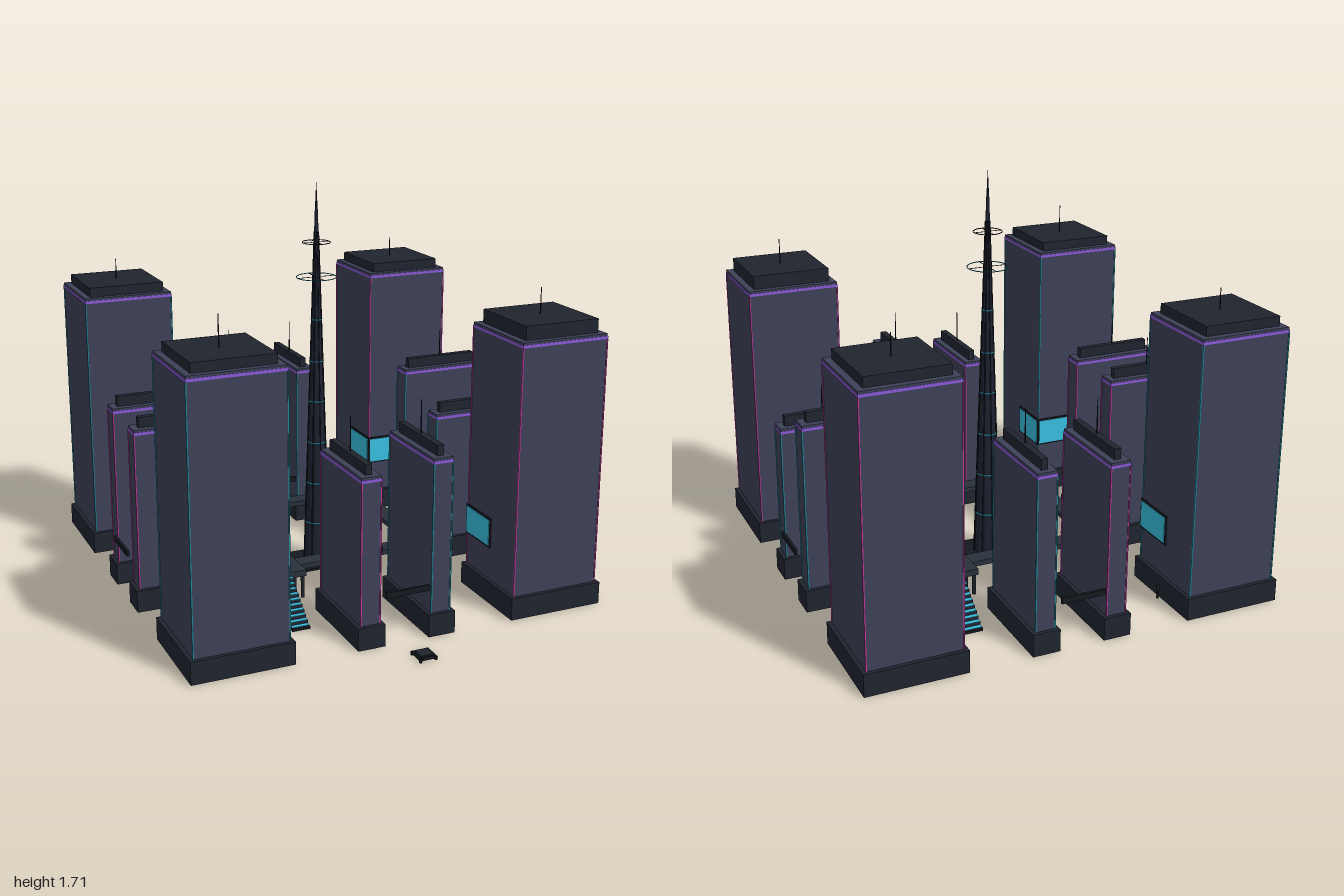
import * as THREE from 'three';

const mat = (color, flatShading = false) => new THREE.MeshStandardMaterial({ color, flatShading });
const M = {
  wall: mat(0x3d4157), dark: mat(0x20242e), black: mat(0x15181f), deck: mat(0x29313b),
  spire: mat(0x1d2230, true), cyan: mat(0x38bfe0), teal: mat(0x1f8c9c), pink: mat(0xc23a9c), violet: mat(0x8a5ad6),
};
const CZ = -0.09; // centre of the block plan

export function createModel() {
  const root = new THREE.Group();

  const group = (name, parent = root, x = 0, y = 0, z = 0) => {
    const g = new THREE.Group();
    g.name = name;
    g.position.set(x, y, z);
    parent.add(g);
    return g;
  };
  // box standing on y
  const box = (parent, name, w, h, d, x, y, z, m) => {
    const b = new THREE.Mesh(new THREE.BoxGeometry(w, h, d), m);
    b.name = name;
    b.position.set(x, y + h / 2, z);
    parent.add(b);
    return b;
  };
  // cylinder standing on y
  const cyl = (parent, name, rTop, rBot, h, x, y, z, m, n = 8) => {
    const c = new THREE.Mesh(new THREE.CylinderGeometry(rTop, rBot, h, n), m);
    c.name = name;
    c.position.set(x, y + h / 2, z);
    parent.add(c);
    return c;
  };
  const ring = (parent, name, r, t, y, m) => {
    const o = new THREE.Mesh(new THREE.TorusGeometry(r, t, 6, 32), m);
    o.name = name;
    o.rotation.x = Math.PI / 2;
    o.position.y = y;
    parent.add(o);
  };

  // building: plinth, shaft, neon trim, roof cap, antenna
  const building = (name, x, z, w, d, top, capTop, tip, neon) => {
    const g = group(name, root, x, 0, z);
    box(g, 'plinth', w + 0.034, 0.095, d + 0.034, 0, 0, 0, M.dark);
    box(g, 'shaft', w, top - 0.095, d, 0, 0.095, 0, M.wall);
    box(g, 'roofBand', w + 0.004, 0.012, d + 0.004, 0, top - 0.022, 0, M.violet);
    box(g, 'roofCap', w - 0.055, capTop - top, d - 0.055, 0, top, 0, M.dark);
    cyl(g, 'antenna', 0.0015, 0.003, tip - capTop, 0, capTop, 0, M.black, 6);
    for (const sx of [-1, 1]) for (const sz of [-1, 1])
      box(g, 'neonEdge', 0.005, top - 0.117, 0.005, sx * w / 2, 0.095, sz * d / 2, neon);
    return g;
  };

  // corner towers: [x side, z side, top, cap top, antenna tip, neon, sign colour]
  const corners = [
    [-1, 1, 1.19, 1.23, 1.355, M.teal, M.cyan], [1, 1, 1.168, 1.226, 1.335, M.pink, M.pink],
    [1, -1, 1.185, 1.226, 1.315, M.pink, M.cyan], [-1, -1, 1.185, 1.226, 1.315, M.teal, M.pink],
  ];
  for (const [sx, sz, top, cap, tip, neon, sign] of corners) {
    const g = building('cornerTower', sx * 0.69, CZ + sz * 0.69, 0.39, 0.39, top, cap, tip, neon);
    // signs on the two inner faces, close to the inner corner
    box(g, 'signFrame', 0.008, 0.13, 0.2, -sx * 0.198, 0.237, -sz * 0.1, M.black);
    box(g, 'signPanel', 0.004, 0.115, 0.188, -sx * 0.203, 0.2445, -sz * 0.1, M.cyan);
    box(g, 'signFrame', 0.2, 0.13, 0.008, -sx * 0.1, 0.237, -sz * 0.198, M.black);
    box(g, 'signPanel', 0.188, 0.115, 0.004, -sx * 0.1, 0.2445, -sz * 0.203, sign);
  }

  // paired slab buildings: [x, z offset, top, runs along z, neon]
  const slabs = [
    [-0.155, 0.69, 0.71, true, M.pink], [0.155, 0.69, 0.745, true, M.teal],
    [-0.155, -0.69, 0.745, true, M.pink], [0.155, -0.69, 0.757, true, M.teal],
    [0.69, 0.155, 0.68, false, M.teal], [0.69, -0.155, 0.807, false, M.teal],
    [-0.69, 0.155, 0.786, false, M.pink], [-0.69, -0.155, 0.79, false, M.pink],
  ];
  for (const [x, dz, top, alongZ, neon] of slabs)
    building('slabBuilding', x, CZ + dz, alongZ ? 0.083 : 0.39, alongZ ? 0.39 : 0.083,
      top, top + 0.044, top + (alongZ ? 0.185 : 0.16), neon);

  // thin beams tying each slab pair together
  for (const s of [-1, 1]) for (const r of [0.477, 0.902]) {
    box(root, 'tieBeam', 0.19, 0.024, 0.012, 0, 0.206, CZ + s * r, M.black);
    box(root, 'tieBeam', 0.012, 0.024, 0.19, s * r, 0.206, CZ, M.black);
  }

  // central spire
  const spire = group('spire', root, 0, 0, CZ);
  box(spire, 'spirePlate', 0.22, 0.01, 0.22, 0, 0, 0, M.black);
  const radius = (y) => 0.06 * (1 - y / 1.75) + 0.001;
  const levels = [0.01, 0.195, 0.38, 0.567, 0.755, 0.935, 1.12, 1.305, 1.455, 1.6];
  for (let i = 0; i < levels.length - 1; i++) {
    const [a, b] = [levels[i], levels[i + 1]];
    cyl(spire, 'spireSegment', radius(b), radius(a), b - a, 0, a, 0, M.spire, 12);
    if (i > 0 && i < 7) ring(spire, 'spireLight', radius(a), 0.003, a, M.cyan);
  }
  cyl(spire, 'spireTip', 0.0005, radius(1.6), 0.11, 0, 1.6, 0, M.spire, 8);
  // leaning ribs on the spire
  for (let i = 0; i < 8; i++) {
    const a = (i / 8) * Math.PI * 2;
    const path = new THREE.LineCurve3(
      new THREE.Vector3(Math.cos(a) * 0.062, 0.01, Math.sin(a) * 0.062),
      new THREE.Vector3(Math.cos(a) * radius(1.5), 1.5, Math.sin(a) * radius(1.5)));
    const rib = new THREE.Mesh(new THREE.TubeGeometry(path, 1, 0.003, 5), M.black);
    rib.name = 'spireRib';
    spire.add(rib);
  }
  // floating halos with spokes
  for (const [r, y, m] of [[0.086, 1.305, M.teal], [0.06, 1.455, M.spire]]) {
    ring(spire, 'halo', r, 0.002, y, m);
    box(spire, 'haloSpoke', r * 2, 0.002, 0.003, 0, y - 0.001, 0, M.black);
    box(spire, 'haloSpoke', 0.003, 0.002, r * 2, 0, y - 0.001, 0, M.black);
  }

  // raised walkway loop with corner platforms on posts
  const walk = group('walkway', root, 0, 0, CZ);
  const R = 0.345;
  for (const s of [-1, 1]) {
    box(walk, 'walkDeck', 0.49, 0.022, 0.075, 0, 0.146, s * R, M.deck);
    box(walk, 'walkDeck', 0.075, 0.022, 0.49, s * R, 0.146, 0, M.deck);
    for (const t of [-1, 1]) {
      box(walk, 'platform', 0.207, 0.027, 0.207, s * R, 0.144, t * R, M.deck);
      for (const u of [-1, 1]) {
        for (const v of [-1, 1])
          cyl(walk, 'post', 0.009, 0.009, 0.144, s * R + u * 0.065, 0, t * R + v * 0.065, M.dark);
      }
      cyl(walk, 'post', 0.009, 0.009, 0.146, s * R, 0, t * 0.215, M.dark);
      cyl(walk, 'post', 0.009, 0.009, 0.146, t * 0.215, 0, s * R, M.dark);
    }
  }

  // two flights of lit stairs on opposite platforms
  const steps = 10, run = 0.187 / steps, rise = 0.15 / steps;
  for (const s of [-1, 1]) {
    const stair = group('stairs', walk, s * R, 0, -s * 0.448);
    for (let i = 0; i < steps; i++) {
      const z = -s * run * (i + 0.5), y = 0.15 - rise * (i + 1);
      box(stair, 'step', 0.076, rise, run, 0, y, z, M.dark);
      box(stair, 'stepLight', 0.074, 0.002, run * 0.98, 0, y + rise, z, M.cyan);
    }
    box(stair, 'stairFoot', 0.078, 0.012, 0.005, 0, 0, -s * 0.188, M.black);
  }

  // street posts
  const posts = [[-0.465, -0.78], [0.46, -0.78], [-0.465, 0.075], [0.46, 0.075], [-0.465, 0.6], [-0.69, -0.555],
    [0.165, -0.557], [0.69, -0.555], [-0.69, 0.37], [0.165, 0.37], [0.69, 0.37]];
  for (const [x, z] of posts) {
    const g = group('streetPost', root, x, 0, z);
    cyl(g, 'postStem', 0.004, 0.005, 0.045, 0, 0, 0, M.black, 6);
    box(g, 'postHead', 0.012, 0.02, 0.012, 0, 0.042, 0, M.dark);
  }

  // small low pod in front of the blocks
  const pod = group('pod', root, 0, 0, 0.955);
  box(pod, 'podBody', 0.07, 0.014, 0.07, 0, 0.004, 0, M.black);
  box(pod, 'podLid', 0.055, 0.004, 0.055, 0, 0.018, 0, M.dark);
  for (const sx of [-1, 1]) for (const sz of [-1, 1])
    cyl(pod, 'podFoot', 0.007, 0.007, 0.014, sx * 0.033, 0, sz * 0.036, M.black);

  return root;
}
